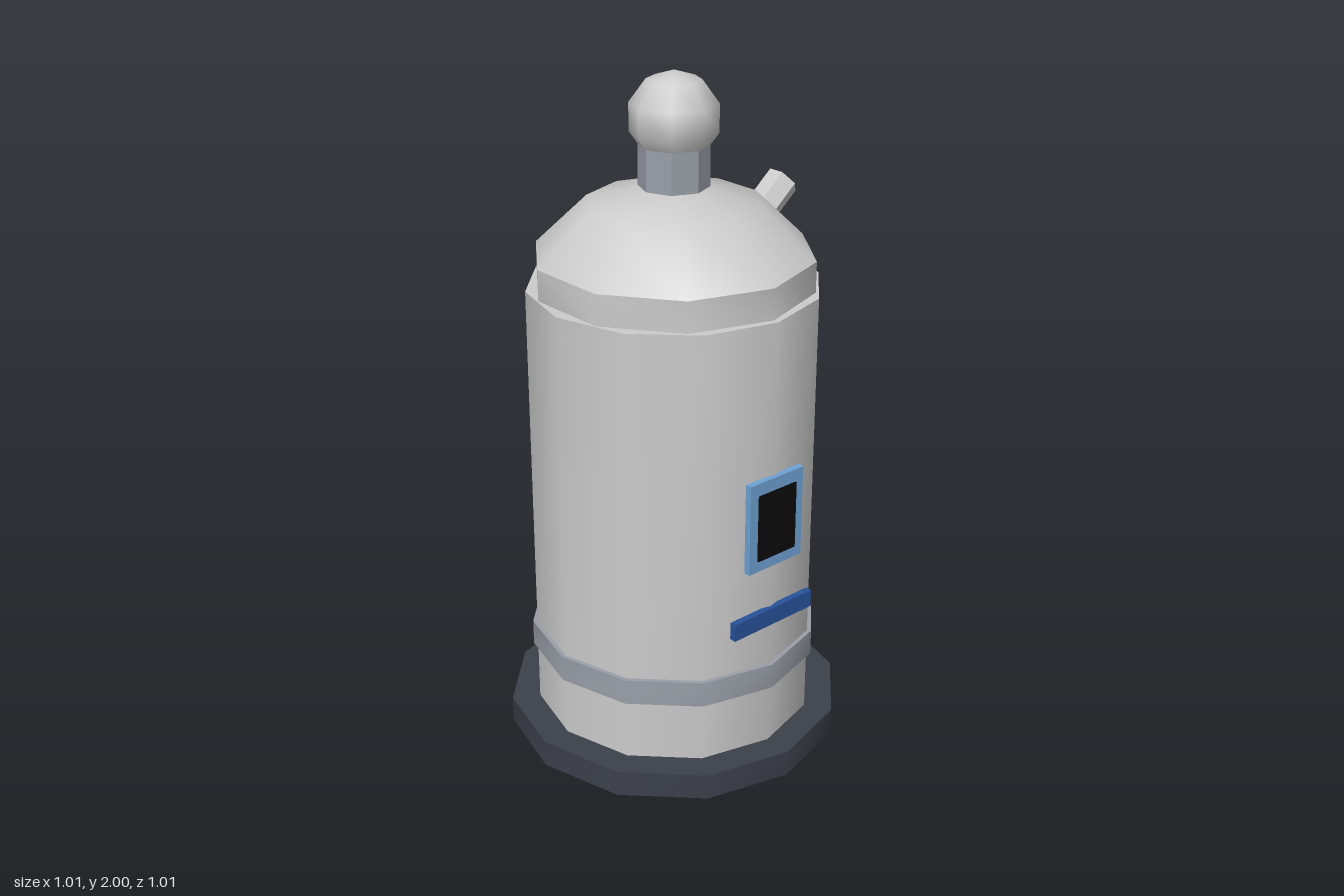
import * as THREE from 'three';
import { toCreasedNormals } from 'three/addons/utils/BufferGeometryUtils.js';

export function createModel() {
  const model = new THREE.Group();
  model.name = 'canisterRobot';

  const mat = (color) => new THREE.MeshStandardMaterial({ color });
  const shell = mat(0xcccccc);
  const trim = mat(0x9a9fa8);
  const dark = mat(0x3c404a);
  const lightBlue = mat(0x6fa3d4);
  const blue = mat(0x28529a);
  const black = mat(0x0a0a0a);

  function add(name, geometry, material, x = 0, y = 0, z = 0) {
    const mesh = new THREE.Mesh(geometry, material);
    mesh.name = name;
    mesh.position.set(x, y, z);
    model.add(mesh);
    return mesh;
  }

  // Upright prism between two heights; sides blend unless the corner is sharp
  function drum(name, radius, y0, y1, sides, material) {
    const g = new THREE.CylinderGeometry(radius, radius, y1 - y0, sides);
    return add(name, toCreasedNormals(g, 0.66), material, 0, (y0 + y1) / 2);
  }

  // Box given by its width, height range and depth range
  function plate(name, width, y0, y1, z0, z1, material) {
    const g = new THREE.BoxGeometry(width, y1 - y0, z1 - z0);
    return add(name, g, material, 0, (y0 + y1) / 2, (z0 + z1) / 2);
  }

  // Base, body and lower band
  drum('base', 0.505, 0, 0.08, 12, dark);
  drum('body', 0.42, 0.08, 1.4, 12, shell);
  drum('lowerBand', 0.433, 0.267, 0.345, 12, trim);

  // Domed shoulder with a short straight wall
  const profile = [[0.402, 1.4], [0.402, 1.49], [0.25, 1.637], [0, 1.695]]
    .map(([r, y]) => new THREE.Vector2(r, y));
  add('dome', toCreasedNormals(new THREE.LatheGeometry(profile, 10), 0.66), shell);

  // Neck and ball on top
  drum('neck', 0.1, 1.68, 1.8, 8, trim);
  add('topBall', new THREE.SphereGeometry(0.13, 8, 5), shell, 0, 1.87, 0);

  // Hexagonal spout leaning out of the left side of the dome
  const spoutGeo = toCreasedNormals(new THREE.CylinderGeometry(0.05, 0.05, 0.15, 6), 0.66);
  const spout = add('spout', spoutGeo, shell, 0.363, 1.567, 0);
  spout.rotation.z = -THREE.MathUtils.degToRad(50);

  // Front window and slot
  plate('windowFrame', 0.2, 0.675, 0.95, 0.412, 0.432, lightBlue);
  plate('windowPane', 0.14, 0.71, 0.912, 0.418, 0.438, black);
  plate('slot', 0.3, 0.482, 0.535, 0.412, 0.432, blue);

  return model;
}
